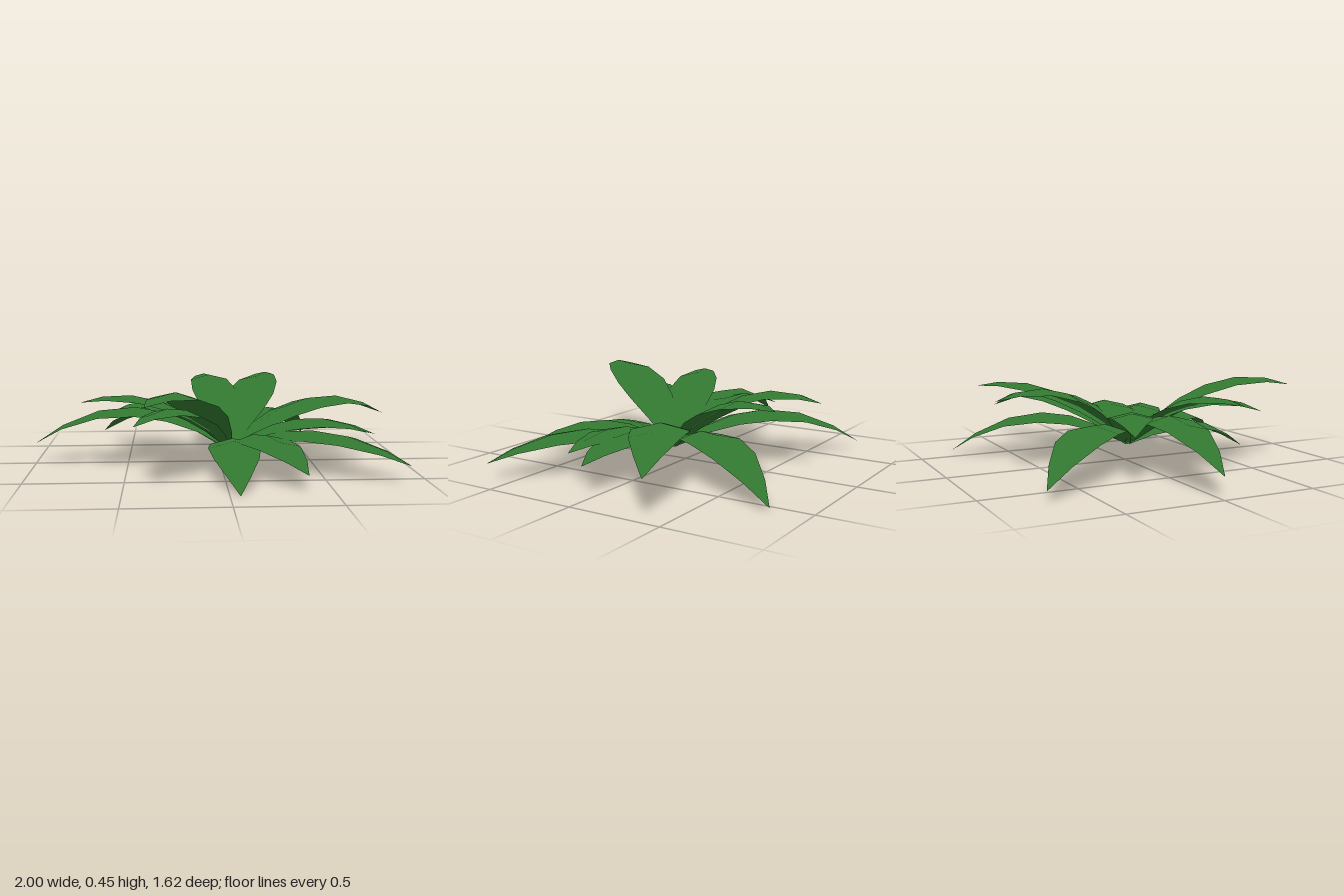
import * as THREE from 'three';

// where all leaves meet
const BASE = new THREE.Vector3(0.05, 0.08, 0.045);

// half width of a leaf along its length: [t, half width]
const PROFILE = [[0, 0.02], [0.16, 0.078], [0.32, 0.124], [0.48, 0.14], [0.67, 0.118], [0.86, 0.06], [1, 0.001]];

// each leaf: tip x, tip y, tip z, height of the arch, width scale
const LEAVES = [
  [-0.68, 0.055, -0.73, 0.26, 1],
  [-0.08, 0.38, -0.76, 0.428, 0.92],
  [0.355, 0.41, -0.72, 0.43, 1],
  [0.575, 0.02, -0.81, 0.245, 1],
  [1.0, 0.2, -0.41, 0.33, 1.05],
  [0.85, 0.15, 0.045, 0.24, 0.95],
  [0.785, 0.18, 0.18, 0.255, 1],
  [0.9, 0.09, 0.615, 0.22, 1],
  [0.375, 0.08, 0.75, 0.21, 1],
  [0.05, 0.0, 0.805, 0.185, 0.95],
  [-0.39, 0.415, 0.805, 0.457, 1.05],
  [-0.45, 0.29, 0.585, 0.352, 0.85],
  [-0.725, 0.37, 0.29, 0.4, 0.95],
  [-1.0, 0.11, 0.0, 0.308, 0.95],
  [-0.6, 0.24, -0.245, 0.32, 0.88],
];

// arched, tent-shaped blade with upward normals for even foliage shading
function leafGeometry([x, y, z, peak, width]) {
  const dx = x - BASE.x, dz = z - BASE.z, dy = y - BASE.y;
  const length = Math.hypot(dx, dz);
  const sideX = -dz / length, sideZ = dx / length;
  // parabola through the base and the tip with the wanted highest point
  const p = peak - BASE.y;
  const a = 2 * p + 2 * Math.sqrt(p * p - p * dy);
  const b = dy - a;

  const positions = [], normals = [], index = [];
  for (const [t, half] of PROFILE) {
    for (const s of [-1, 0, 1]) {
      const w = s * half * width;
      positions.push(
        BASE.x + dx * t + sideX * w,
        BASE.y + a * t + b * t * t - Math.abs(w) * 0.25,
        BASE.z + dz * t + sideZ * w);
      normals.push(0, 1, 0);
    }
  }
  for (let i = 0; i < PROFILE.length - 1; i++) {
    for (let j = 0; j < 2; j++) {
      const k = i * 3 + j;
      index.push(k, k + 1, k + 3, k + 1, k + 4, k + 3);
    }
  }
  const geometry = new THREE.BufferGeometry();
  geometry.setAttribute('position', new THREE.Float32BufferAttribute(positions, 3));
  geometry.setAttribute('normal', new THREE.Float32BufferAttribute(normals, 3));
  geometry.setIndex(index);
  return geometry;
}

export function createModel() {
  const plant = new THREE.Group();
  plant.name = 'leafyPlant';
  const leafGreen = new THREE.MeshStandardMaterial({ color: 0x347b33, side: THREE.DoubleSide });
  leafGreen.name = 'leafGreen';
  LEAVES.forEach((leaf, i) => {
    const mesh = new THREE.Mesh(leafGeometry(leaf), leafGreen);
    mesh.name = `leaf${i + 1}`;
    plant.add(mesh);
  });
  return plant;
}
